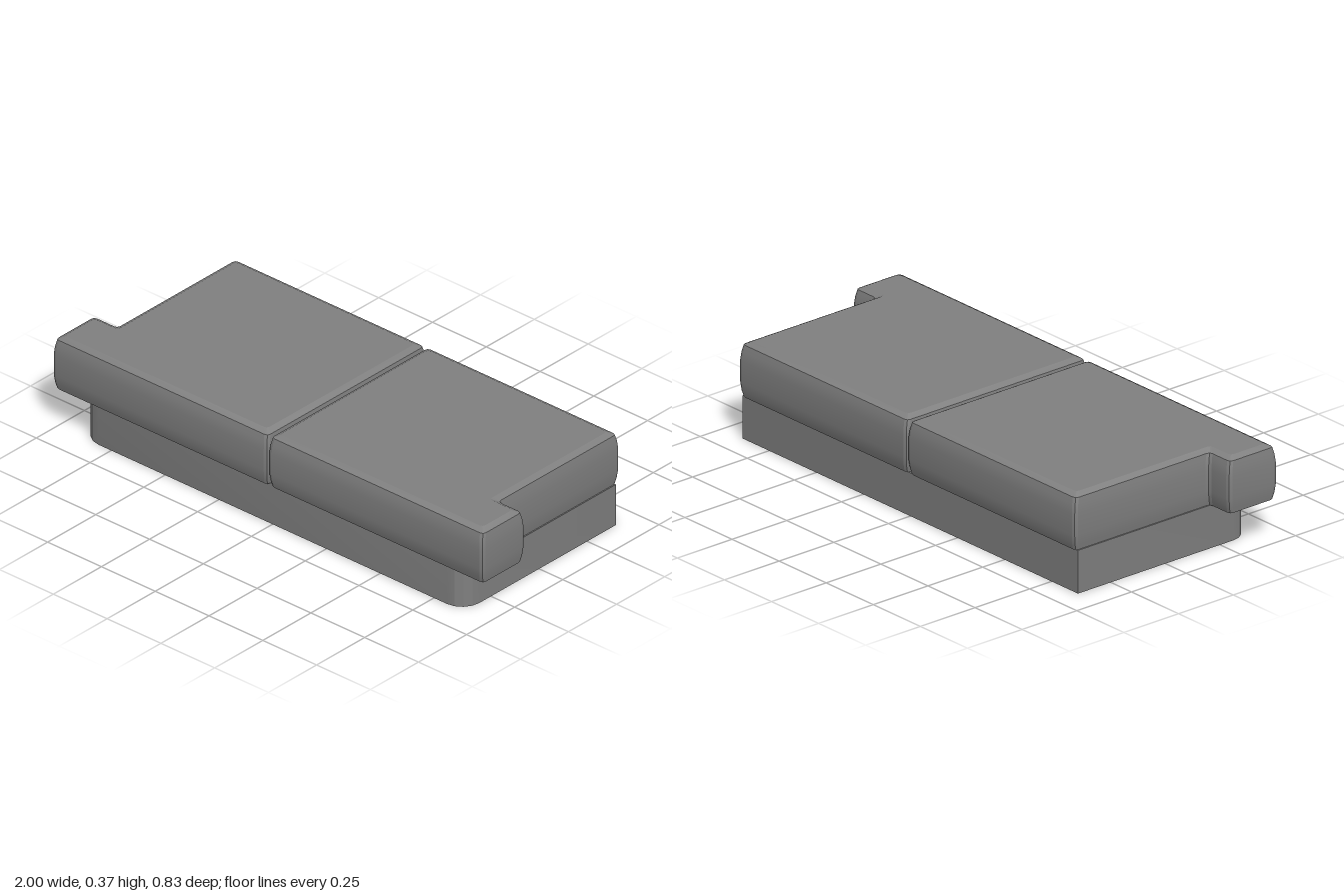
import * as THREE from 'three';
import { toCreasedNormals } from 'three/addons/utils/BufferGeometryUtils.js';

const material = new THREE.MeshStandardMaterial({ color: 0x808080 });

// Replaces every corner of a closed outline with a small two-facet curve.
function roundCorners(corners, radius) {
  const out = [];
  corners.forEach((c, i) => {
    const prev = corners[(i + corners.length - 1) % corners.length];
    const next = corners[(i + 1) % corners.length];
    const a = c.clone().add(prev.clone().sub(c).setLength(radius));
    const b = c.clone().add(next.clone().sub(c).setLength(radius));
    out.push(...new THREE.QuadraticBezierCurve(a, c, b).getPoints(2));
  });
  return out;
}

// L-shaped outline in (x, -z), counter-clockwise, shrunk by dx and dz.
function cushionOutline(dx, dz) {
  const inner = 0.002 + dx, outer = 1 - dx, body = 0.892 - dx;
  const front = -0.417 + dz, step = -0.196 - dz, back = 0.417 - dz;
  const corners = [
    [inner, front], [outer, front], [outer, step],
    [body, step], [body, back], [inner, back],
  ].map(([x, y]) => new THREE.Vector2(x, y));
  return roundCorners(corners, 0.015);
}

// Stacks shrunken outlines into a softly bulging cushion.
function cushionGeometry(side) {
  // Height, shrink in x, shrink in z; the lower half mirrors the upper
  const upper = [[0.302, 0, 0], [0.335, 0.003, 0.004], [0.36, 0.007, 0.011], [0.372, 0.029, 0.033]];
  const lower = upper.map(([y, dx, dz]) => [0.523 - y, dx, dz]).reverse();
  const levels = [...lower, ...upper];
  const positions = [], index = [];
  const rings = levels.map(([, dx, dz]) => cushionOutline(dx, dz));
  const n = rings[0].length;
  rings.forEach((ring, k) => ring.forEach((p) => positions.push(side * p.x, levels[k][0], -p.y)));
  const face = (a, b, c) => (side > 0 ? index.push(a, b, c) : index.push(a, c, b));

  for (let k = 0; k < rings.length - 1; k++) {
    for (let i = 0; i < n; i++) {
      const a = k * n + i, b = k * n + (i + 1) % n;
      face(a, b, b + n);
      face(a, b + n, a + n);
    }
  }
  // Bottom and top
  const top = (rings.length - 1) * n;
  for (const [a, b, c] of THREE.ShapeUtils.triangulateShape(rings[0], [])) {
    face(a, c, b);
    face(top + a, top + b, top + c);
  }
  const geometry = new THREE.BufferGeometry();
  geometry.setAttribute('position', new THREE.Float32BufferAttribute(positions, 3));
  geometry.setIndex(index);
  return toCreasedNormals(geometry, 0.28);
}

// Plinth with square back corners and faceted round front corners.
function baseGeometry() {
  const w = 0.89, front = -0.39, back = 0.4, r = 0.08;
  const shape = new THREE.Shape();
  shape.moveTo(w, back);
  shape.lineTo(-w, back);
  shape.lineTo(-w, front + r);
  shape.absarc(-w + r, front + r, r, Math.PI, Math.PI * 1.5);
  shape.absarc(w - r, front + r, r, Math.PI * 1.5, Math.PI * 2);
  shape.lineTo(w, back);
  // Arcs get twice this number of segments
  const geometry = new THREE.ExtrudeGeometry(shape, { depth: 0.163, bevelEnabled: false, curveSegments: 2 });
  geometry.rotateX(-Math.PI / 2);
  return toCreasedNormals(geometry, 0.3);
}

export function createModel() {
  const group = new THREE.Group();
  group.name = 'sofaSeat';

  const base = new THREE.Mesh(baseGeometry(), material);
  base.name = 'base';
  group.add(base);

  // Pair of mirrored seat cushions
  for (const side of [1, -1]) {
    const cushion = new THREE.Mesh(cushionGeometry(side), material);
    cushion.name = side > 0 ? 'leftSeatCushion' : 'rightSeatCushion';
    group.add(cushion);
  }
  return group;
}
